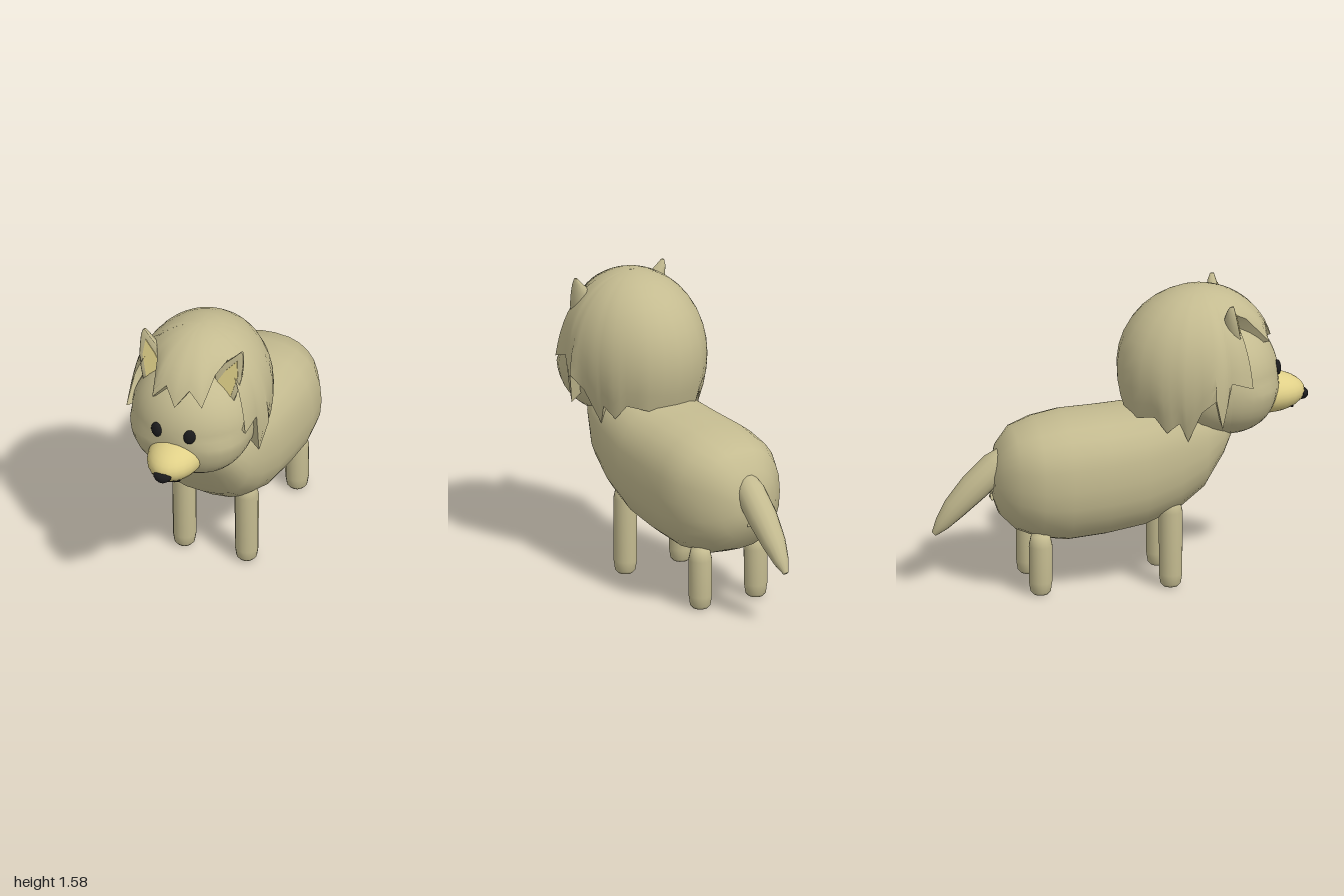
import * as THREE from 'three';
import { toCreasedNormals } from 'three/addons/utils/BufferGeometryUtils.js';

const mat = (name, color) => Object.assign(new THREE.MeshStandardMaterial({ color }), { name });
const V = (x, y, z) => new THREE.Vector3(x, y, z);

// Closed skin over rings of equal point counts, capped at both ends, wound outwards
function loft(rings) {
  const n = rings[0].length, pts = [], idx = [];
  const centre = (r) => r.reduce((s, p) => s.add(p), V(0, 0, 0)).divideScalar(n);
  const all = [Array(n).fill(centre(rings[0])), ...rings, Array(n).fill(centre(rings.at(-1)))];
  all.forEach((r) => pts.push(...r));
  let volume = 0;
  const tri = (a, b, c) => {
    const [A, B, C] = [pts[a], pts[b], pts[c]];
    if (A.distanceTo(B) < 1e-6 || B.distanceTo(C) < 1e-6 || A.distanceTo(C) < 1e-6) return;
    volume += A.dot(B.clone().cross(C));
    idx.push(a, b, c);
  };
  for (let i = 0; i < all.length - 1; i++) {
    for (let j = 0; j < n; j++) {
      const k = (j + 1) % n, a = i * n, b = a + n;
      tri(a + j, a + k, b + j);
      tri(a + k, b + k, b + j);
    }
  }
  if (volume < 0) idx.reverse();
  const g = new THREE.BufferGeometry().setFromPoints(pts);
  g.setIndex(idx);
  g.computeVertexNormals();
  return g;
}

// Ring of n points from a rule of cosine and sine
const ring = (n, rule) => Array.from({ length: n }, (_, i) => {
  const a = (i / n) * Math.PI * 2;
  return rule(Math.cos(a), Math.sin(a));
});

// Move every vertex by a rule
function bend(geometry, rule) {
  const p = geometry.attributes.position, v = V(0, 0, 0);
  for (let i = 0; i < p.count; i++) {
    rule(v.fromBufferAttribute(p, i));
    p.setXYZ(i, v.x, v.y, v.z);
  }
  geometry.computeVertexNormals();
  return geometry;
}

export function createModel() {
  const root = new THREE.Group();
  root.name = 'lionCub';
  const fur = mat('tan fur', 0xc4bb90);
  const cream = mat('yellow cream', 0xe0d088);
  const black = mat('black', 0x1b1b1d);

  const add = (name, geometry, material, x = 0, y = 0, z = 0) => {
    const m = new THREE.Mesh(geometry, material);
    m.name = name;
    m.position.set(x, y, z);
    root.add(m);
    return m;
  };
  const ball = (name, material, pos, r, w = 24, h = 16) =>
    add(name, new THREE.SphereGeometry(1, w, h).scale(...r), material, ...pos);

  // Body: rounded sections [z, bottom, top, half width] from chest to rump
  const sections = [
    [0.59, 0.81, 0.95, 0.12], [0.52, 0.67, 0.98, 0.22], [0.42, 0.5, 1.0, 0.27], [0.28, 0.385, 0.99, 0.295],
    [0.1, 0.31, 0.955, 0.315], [-0.1, 0.275, 0.94, 0.325], [-0.3, 0.257, 0.93, 0.33], [-0.45, 0.277, 0.9, 0.315],
    [-0.57, 0.325, 0.86, 0.25], [-0.645, 0.4, 0.775, 0.17], [-0.68, 0.5, 0.66, 0.09],
  ];
  const soft = (v, e) => Math.sign(v) * Math.abs(v) ** e;
  add('body', loft(sections.map(([z, lo, hi, w]) => ring(24, (c, s) =>
    V(w * soft(c, 0.82), (lo + hi) / 2 + ((hi - lo) / 2) * soft(s, s < 0 ? 0.9 : 0.82), z)))), fur);

  // Legs: round posts with softened feet
  for (const [label, z, top] of [['front', 0.235, 0.49], ['back', -0.455, 0.345]]) {
    for (const s of [1, -1]) {
      const profile = [[0, 0], [0.04, 0.002], [0.054, 0.018], [0.062, 0.07], [0.063, top - 0.08], [0.05, top - 0.02], [0, top]];
      const g = new THREE.LatheGeometry(profile.map((p) => new THREE.Vector2(...p)), 16);
      add(label + (s > 0 ? 'LeftLeg' : 'RightLeg'), g, fur, s * 0.175, 0, z);
    }
  }

  // Tail: rings [y, z, radius] across a slanting path
  const tail = [[0.72, -0.59, 0.06], [0.66, -0.66, 0.08], [0.55, -0.775, 0.08], [0.44, -0.88, 0.064], [0.36, -0.945, 0.042], [0.305, -0.988, 0.015]];
  add('tail', loft(tail.map(([y, z, r]) => ring(14, (c, s) => V(r * c, y + r * 0.7 * s, z - r * 0.7 * s)))), fur);

  // Small crossed crease under the tail
  for (const s of [1, -1]) {
    const m = add('rumpCrease', new THREE.CapsuleGeometry(0.008, 0.07, 3, 8), fur, 0, 0.51, -0.683);
    m.rotation.z = (s * Math.PI) / 4;
  }

  // Face: a ball with fuller cheeks
  const cheeks = (v) => {
    if (v.y < 0) v.divideScalar((Math.abs(v.x) ** 2.35 + Math.abs(v.y) ** 2.35 + Math.abs(v.z) ** 2.35) ** (1 / 2.35));
  };
  add('face', bend(new THREE.SphereGeometry(1, 32, 24), cheeks).scale(0.328, 0.314, 0.3), fur, 0, 1.1, 0.535);

  // Muzzle
  const mc = [0, 0.978, 0.765], mr = [0.145, 0.11, 0.215];
  ball('muzzle', cream, mc, mr);
  const onMuzzle = (x, y) =>
    V(x, y, mc[2] + mr[2] * Math.sqrt(Math.max(0, 1 - (x / mr[0]) ** 2 - ((y - mc[1]) / mr[1]) ** 2)));

  // Nose, narrower below, and mouth
  const nose = bend(new THREE.SphereGeometry(1, 16, 12), (v) => { v.x *= 1 + 0.3 * v.y; });
  add('nose', nose.scale(0.048, 0.032, 0.034), black, 0, 0.955, 0.965);
  const line = (name, pts) => add(name, new THREE.TubeGeometry(
    new THREE.CatmullRomCurve3(pts.map((p) => onMuzzle(...p))), 16, 0.007, 6), black);
  line('noseLine', [[0, 0.94], [0, 0.92], [0, 0.897]]);
  line('mouth', [[-0.08, 0.922], [-0.055, 0.905], [0, 0.894], [0.055, 0.905], [0.08, 0.922]]);

  for (const s of [1, -1]) {
    const side = s > 0 ? 'left' : 'right';
    // Eyes lie on the face
    const eye = ball(side + 'Eye', black, [s * 0.093, 1.14, 0.82], [0.032, 0.041, 0.018], 16, 12);
    eye.rotation.set(-0.1, s * 0.25, -s * 0.12);

    // Ears: sections [y, inner x, outer x, depth], flat in front, round behind, leaning back
    const lean = (y) => 0.605 - (y - 1.28) * 0.2;
    const ear = [[1.27, 0.155, 0.255, 0.075], [1.34, 0.142, 0.275, 0.075], [1.41, 0.137, 0.288, 0.07],
      [1.47, 0.185, 0.291, 0.058], [1.52, 0.238, 0.289, 0.04], [1.55, 0.267, 0.282, 0.02]];
    add(side + 'Ear', loft(ear.map(([y, a, b, d]) => ring(16, (c, t) =>
      V(s * ((a + b) / 2 + ((b - a) / 2) * c), y, lean(y) + d * (t < 0 ? t : 0.1 * t))))), fur);
    const outline = [[0.152, 1.36], [0.2, 1.44], [0.258, 1.505], [0.268, 1.42], [0.235, 1.29]];
    const inner = new THREE.ExtrudeGeometry(new THREE.Shape(outline.map(([x, y]) => new THREE.Vector2(s * x, y))),
      { depth: 0.009, bevelEnabled: false });
    add(side + 'InnerEar', bend(inner, (v) => { v.z += lean(v.y) + 0.001; }), cream);
  }

  // Mane: a cap swept from the crown down to a jagged hem (front to back, then mirrored)
  const half = [
    [0, 1.29, 0.8], [0.065, 1.385, 0.755], [0.14, 1.3, 0.765], [0.165, 1.44, 0.64], [0.2, 1.49, 0.55],
    [0.29, 1.39, 0.52], [0.322, 1.28, 0.54], [0.335, 1.11, 0.645], [0.352, 1.15, 0.53], [0.345, 0.9, 0.48],
    [0.385, 1.07, 0.44], [0.345, 1.0, 0.37], [0.275, 0.82, 0.31], [0.295, 0.93, 0.26], [0.262, 0.87, 0.2],
    [0.23, 0.95, 0.14], [0.15, 0.93, 0.06], [0, 0.92, 0.03],
  ].map((p) => V(...p));
  const corners = [...half, ...half.slice(1, -1).reverse().map((p) => V(-p.x, p.y, p.z))];
  const hem = corners.flatMap((p, i) => [p, p.clone().lerp(corners[(i + 1) % corners.length], 0.5)]);
  const C = V(0, 1.2, 0.42);
  const reach = (d) => 1 / Math.hypot(d.x / 0.35, d.y / 0.385, d.z / (d.z > 0 ? 0.39 : 0.42));
  const strand = (h, t) => {
    const d = h.clone().sub(C), length = d.length();
    d.normalize();
    const extra = length - reach(d), a = Math.acos(d.y) * t;
    const flat = V(d.x, 0, d.z).normalize();
    const dir = V(flat.x * Math.sin(a), Math.cos(a), flat.z * Math.sin(a));
    return dir.clone().multiplyScalar(reach(dir) + extra * t ** 5).add(C);
  };
  const rows = Array.from({ length: 12 }, (_, i) => hem.map((h) => strand(h, (i + 0.5) / 11.5)));
  for (const k of [0.9, 0.5]) rows.push(hem.map((h) => C.clone().lerp(h, k)));
  add('mane', toCreasedNormals(loft(rows), 0.8), fur);

  return root;
}
